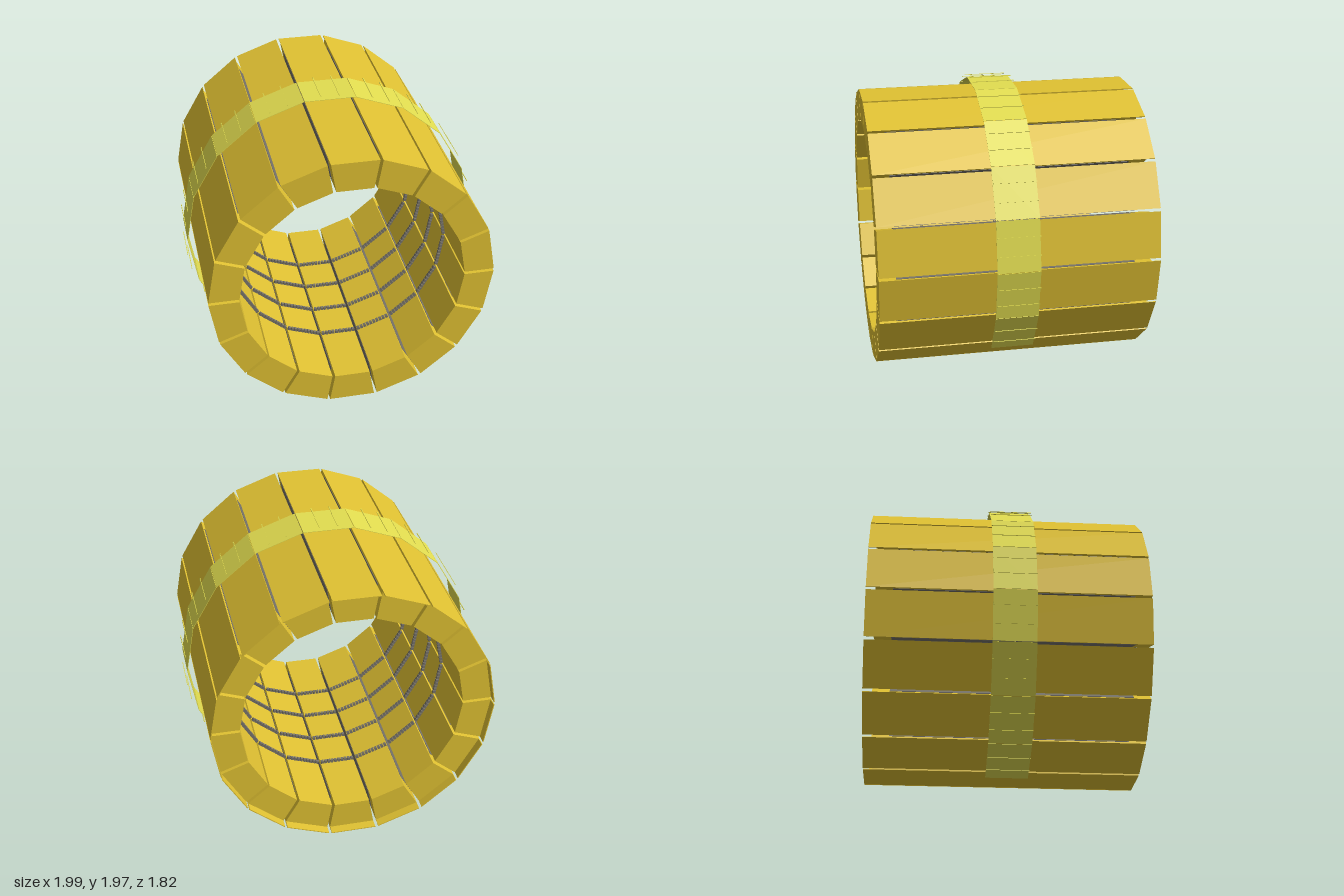
import * as THREE from 'three';
import { mergeGeometries } from 'three/addons/utils/BufferGeometryUtils.js';

const SECTORS = 18;
const STEP = (Math.PI * 2) / SECTORS;
const AXIS_Y = 0.97;
const MID_Z = 0.03;             // middle of the block bodies along the axis
const INNER = 0.73, OUTER = 0.925, GAP = 0.01;

const halfWidth = (r) => r * Math.tan(STEP / 2) - GAP;

const material = (color) => new THREE.MeshStandardMaterial({ color, flatShading: true });

function box(w, h, d, x, y, z) {
  return new THREE.BoxGeometry(w, h, d).translate(x, y, z);
}

// Wedge with its outer face up (+y), extruded along the axis
function wedge(r0, r1, z0, z1) {
  const a = halfWidth(r0), b = halfWidth(r1);
  const shape = new THREE.Shape([
    new THREE.Vector2(-a, r0), new THREE.Vector2(a, r0),
    new THREE.Vector2(b, r1), new THREE.Vector2(-b, r1),
  ]);
  return new THREE.ExtrudeGeometry(shape, { depth: z1 - z0, bevelEnabled: false }).translate(0, 0, z0);
}

export function createModel() {
  const model = new THREE.Group();
  model.name = 'segmentedRing';

  const yellow = material(0xe0c132);
  const paleYellow = material(0xe2dd50);
  const grey = material(0x77736a);

  // Block body, and the outer skin that overhangs its back end
  const bodyGeo = wedge(INNER, OUTER - 0.006, -0.85, 0.91);
  const skinGeo = wedge(OUTER - 0.006, OUTER, -0.91, 0.91);

  // Four rows of small links across the inner face
  const links = [];
  const linkCount = 10, pitch = (halfWidth(INNER) * 2) / linkCount;
  for (const dz of [-0.42, -0.14, 0.14, 0.42]) {
    for (let i = 0; i < linkCount; i++) {
      const x = (i - (linkCount - 1) / 2) * pitch;
      links.push(box(pitch * 0.8, 0.02, 0.02, x, INNER - 0.01, MID_Z + dz));
    }
  }
  const linkGeo = mergeGeometries(links);

  // Thin strips along both side walls
  const stripGeo = mergeGeometries([-1, 1].map((s) => {
    const r = (INNER + OUTER) / 2;
    return new THREE.BoxGeometry(0.005, 0.17, 1.54)
      .rotateZ(-s * STEP / 2)
      .translate(s * halfWidth(r), r, MID_Z);
  }));

  // Outer band plate and the pair of rods floating over it
  const plateGeo = box(0.338, 0.003, 0.28, 0, 0.97, MID_Z);
  const rodGeo = mergeGeometries([-1, 1].map((s) => box(0.007, 0.004, 0.28, s * 0.061, 0.996, MID_Z)));

  for (let k = 0; k < SECTORS; k++) {
    const sector = new THREE.Group();
    sector.name = 'sector' + k;
    sector.position.y = AXIS_Y;
    sector.rotation.z = k * STEP;

    const add = (name, geometry, mat) => {
      const mesh = new THREE.Mesh(geometry, mat);
      mesh.name = name;
      sector.add(mesh);
    };
    add('blockBody', bodyGeo, yellow);
    add('outerSkin', skinGeo, yellow);
    add('innerLinks', linkGeo, grey);
    add('sideStrips', stripGeo, grey);

    // The band is open over three sectors at the lower +x side
    if (k < 9 || k > 11) {
      add('bandPlate', plateGeo, paleYellow);
      add('bandRods', rodGeo, paleYellow);
    }
    model.add(sector);
  }
  return model;
}
